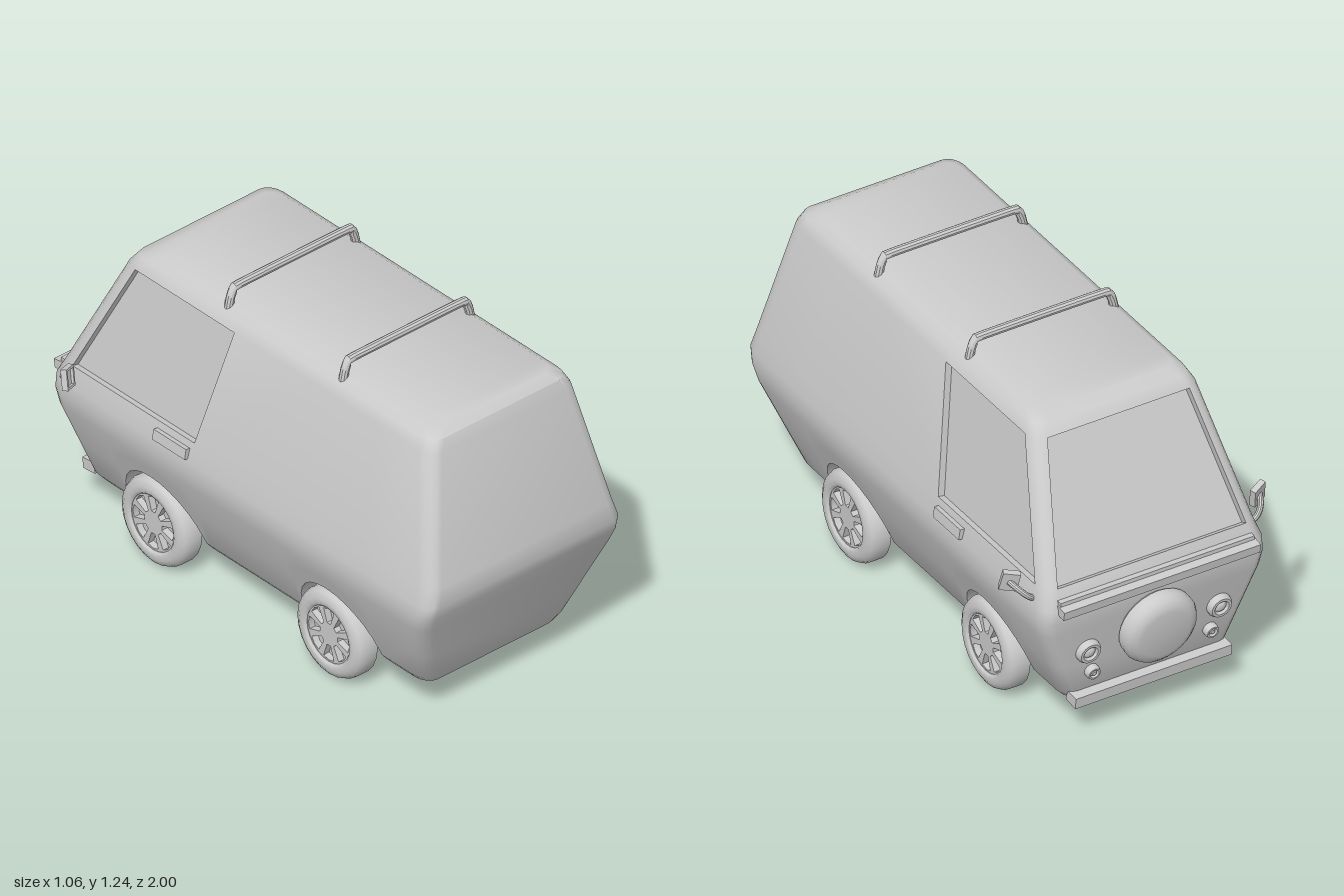
import * as THREE from 'three';
import { toCreasedNormals } from 'three/addons/utils/BufferGeometryUtils.js';

const grey = new THREE.MeshStandardMaterial({ color: 0xcccccc });
const thin = new THREE.MeshStandardMaterial({ color: 0xcccccc, side: THREE.DoubleSide });

function add(parent, name, geo, crease = 0.6, mat = grey) {
  const mesh = new THREE.Mesh(toCreasedNormals(geo, crease), mat);
  mesh.name = name;
  parent.add(mesh);
  return mesh;
}

// Geometry from quads, each four Vector3 corners counter-clockwise
function quadGeometry(quads) {
  const pos = [];
  for (const [a, b, c, d] of quads) for (const p of [a, b, c, a, c, d]) pos.push(p.x, p.y, p.z);
  const geo = new THREE.BufferGeometry();
  geo.setAttribute('position', new THREE.Float32BufferAttribute(pos, 3));
  geo.computeVertexNormals();
  return geo;
}

// Body shape by height: half width, front end, rear end
const SHAPE = [
  [0.13, 0.3, -0.845, 0.83], [0.16, 0.325, -0.867, 0.845], [0.46, 0.437, -0.915, 0.96],
  [0.52, 0.447, -0.925, 0.985], [0.57, 0.443, -0.925, 1.0], [0.64, 0.424, -0.893, 0.988],
  [1.1, 0.332, -0.68, 0.887], [1.14, 0.311, -0.652, 0.87], [1.16, 0.28, -0.605, 0.83],
];
const LEVELS = [0.13, 0.16, 0.3, 0.46, 0.52, 0.57, 0.64, 1.1, 1.14, 1.16];
const SILL = 6, HEAD = 7, N = LEVELS.length;
const AXLES = [-0.46, 0.43];

function shapeAt(y) {
  let i = 0;
  while (i < SHAPE.length - 2 && y > SHAPE[i + 1][0]) i++;
  const a = SHAPE[i], b = SHAPE[i + 1], t = (y - a[0]) / (b[0] - a[0]);
  return a.map((v, k) => v + (b[k] - v) * t);
}

// Columns from front to rear: rounded corners, wheel arches and window post
function makeColumns() {
  const cols = [];
  const arch = (c) => {
    for (let k = 0; k <= 14; k++) {
      const a = Math.PI * (1 - k / 14);
      cols.push({ z: c + 0.2 * Math.cos(a), bottom: 0.13 + 0.235 * Math.sin(a) });
    }
  };
  for (let k = 0; k <= 4; k++) cols.push({ end: 2, angle: (k / 4) * Math.PI / 2, bottom: 0.13 });
  arch(AXLES[0]);
  cols.push({ z: -0.235, bottom: 0.13, post: true });
  arch(AXLES[1]);
  for (let k = 4; k >= 0; k--) cols.push({ end: 3, angle: (k / 4) * Math.PI / 2, bottom: 0.13 });
  return cols;
}

function bodyPoint(col, level, side) {
  let y = LEVELS[level];
  if (y <= 0.46) y = col.bottom + (y - 0.13) / 0.33 * (0.46 - col.bottom);
  const s = shapeAt(y);
  let x = s[1], z = col.z;
  if (col.end) {
    x -= 0.05 * (1 - Math.sin(col.angle));
    z = s[col.end] + (col.end === 2 ? 1 : -1) * 0.065 * (1 - Math.cos(col.angle));
  } else if (y > 0.46) {
    const m = shapeAt(0.46);
    z = s[2] + (z - m[2]) / (m[3] - m[2]) * (s[3] - s[2]);
  }
  return new THREE.Vector3(side * x, y, z);
}

// Sunken pane with reveal walls; corners counter-clockwise from outside
function addWindow(parent, name, c, depth) {
  const n = new THREE.Vector3().subVectors(c[1], c[0])
    .cross(new THREE.Vector3().subVectors(c[3], c[0])).normalize();
  const inner = c.map((p) => p.clone().addScaledVector(n, -depth));
  const walls = c.map((p, i) => [p, c[(i + 1) % 4], inner[(i + 1) % 4], inner[i]]);
  add(parent, name + 'Frame', quadGeometry(walls), 0.3, thin);
  add(parent, name, quadGeometry([inner]), 0.3, thin);
}

function addBody(van) {
  const cols = makeColumns(), last = cols.length - 1;
  const post = cols.findIndex((c) => c.post), quads = [];
  const R = (i, j) => bodyPoint(cols[i], j, 1), L = (i, j) => bodyPoint(cols[i], j, -1);
  for (let i = 0; i < last; i++) {
    for (let j = 0; j < N - 1; j++) {
      if (j === SILL && i >= 4 && i < post) continue;
      quads.push([R(i, j), R(i, j + 1), R(i + 1, j + 1), R(i + 1, j)]);
      quads.push([L(i, j), L(i + 1, j), L(i + 1, j + 1), L(i, j + 1)]);
    }
    quads.push([R(i, N - 1), L(i, N - 1), L(i + 1, N - 1), R(i + 1, N - 1)]); // roof
    quads.push([R(i, 0), R(i + 1, 0), L(i + 1, 0), L(i, 0)]); // floor and arch tunnels
  }
  for (let j = 0; j < N - 1; j++) {
    if (j !== SILL) quads.push([L(0, j), L(0, j + 1), R(0, j + 1), R(0, j)]);
    quads.push([R(last, j), R(last, j + 1), L(last, j + 1), L(last, j)]);
  }
  add(van, 'body', quadGeometry(quads), 0.65);
  addWindow(van, 'windshield', [L(0, SILL), L(0, HEAD), R(0, HEAD), R(0, SILL)], 0.03);
  addWindow(van, 'leftWindow', [R(4, SILL), R(4, HEAD), R(post, HEAD), R(post, SILL)], 0.025);
  addWindow(van, 'rightWindow', [L(4, SILL), L(post, SILL), L(post, HEAD), L(4, HEAD)], 0.025);
}

const lathe = (pts, segments) =>
  new THREE.LatheGeometry(pts.map((p) => new THREE.Vector2(...p)), segments);

// Wheel along local +x, the outer side
function makeWheel() {
  const wheel = new THREE.Group();
  wheel.name = 'wheel';
  add(wheel, 'tire', lathe([[0.108, 0], [0.155, 0], [0.17, 0.008], [0.17, 0.055], [0.16, 0.077],
    [0.138, 0.09], [0.116, 0.088], [0.108, 0.08], [0.108, 0]], 24), 0.7).rotation.z = -Math.PI / 2;
  const rim = new THREE.Shape().absarc(0, 0, 0.11, 0, Math.PI * 2);
  for (let k = 0; k < 8; k++) {
    const a = k * Math.PI / 4;
    const at = (r, d) => new THREE.Vector2(r * Math.cos(a + d), r * Math.sin(a + d));
    rim.holes.push(new THREE.Path([at(0.045, -0.2), at(0.1, -0.26), at(0.103, 0), at(0.1, 0.26), at(0.045, 0.2)]));
  }
  const rimGeo = new THREE.ExtrudeGeometry(rim, { depth: 0.07, bevelEnabled: false, curveSegments: 12 });
  const rimMesh = add(wheel, 'spokedRim', rimGeo);
  rimMesh.rotation.y = Math.PI / 2;
  rimMesh.position.x = 0.008;
  const plate = add(wheel, 'brakePlate', new THREE.CylinderGeometry(0.107, 0.107, 0.02, 24));
  plate.rotation.z = Math.PI / 2;
  plate.position.x = 0.043;
  return wheel;
}

// Places a lathed part on the sloping nose, its axis facing forward
function addNosePart(van, name, x, y, profile, segments) {
  const mesh = add(van, name, lathe(profile, segments));
  mesh.rotation.x = -Math.PI / 2 - 0.16;
  mesh.position.set(x, y, shapeAt(y)[2] + 0.005);
}

function tube(points, radius, tension = 0.2) {
  const curve = new THREE.CatmullRomCurve3(points.map((p) => new THREE.Vector3(...p)), false, 'catmullrom', tension);
  return new THREE.TubeGeometry(curve, 32, radius, 10);
}

function addBox(parent, name, size, position) {
  const mesh = add(parent, name, new THREE.BoxGeometry(...size));
  mesh.position.set(...position);
  return mesh;
}

function addMirror(van, side) {
  add(van, 'mirrorArm', tube([[side * 0.425, 0.585, -0.83], [side * 0.455, 0.605, -0.832],
    [side * 0.48, 0.63, -0.815], [side * 0.498, 0.65, -0.78]], 0.011, 0.5));
  const head = new THREE.Group();
  head.name = 'mirrorHead';
  const frame = new THREE.Shape([[-0.031, -0.038], [0.031, -0.038], [0.031, 0.038], [-0.031, 0.038]]
    .map((p) => new THREE.Vector2(...p)));
  frame.holes.push(new THREE.Path([[-0.022, -0.029], [-0.022, 0.029], [0.022, 0.029], [0.022, -0.029]]
    .map((p) => new THREE.Vector2(...p))));
  add(head, 'mirrorFrame', new THREE.ExtrudeGeometry(frame, { depth: 0.022, bevelEnabled: false }));
  addBox(head, 'mirrorGlass', [0.05, 0.064, 0.012], [0, 0, 0.006]);
  head.position.set(side * 0.497, 0.648, -0.785);
  head.rotation.set(-0.2, -side * 0.45, side * 0.12);
  van.add(head);
}

export function createModel() {
  const van = new THREE.Group();
  van.name = 'van';
  addBody(van);

  for (const side of [1, -1]) {
    for (const z of AXLES) {
      const wheel = makeWheel();
      wheel.position.set(side * 0.31, 0.17, z);
      if (side < 0) wheel.rotation.y = Math.PI;
      van.add(wheel);
    }
    addMirror(van, side);
    const handle = addBox(van, 'doorHandle', [0.03, 0.04, 0.165], [side * 0.437, 0.595, -0.308]);
    handle.rotation.z = side * 0.15;
    const light = (r) => [[r, 0], [r, 0.018], [r * 0.85, 0.03], [r * 0.62, 0.03], [r * 0.5, 0.02], [r * 0.3, 0.028], [0, 0.03]];
    addNosePart(van, 'headlight', side * 0.26, 0.355, light(0.046), 20);
    addNosePart(van, 'indicator', side * 0.235, 0.255, light(0.027), 16);
  }

  // Spare wheel cover on the nose
  addNosePart(van, 'spareWheelCover', 0, 0.385, [[0.13, 0], [0.143, 0.015], [0.145, 0.045],
    [0.135, 0.065], [0.115, 0.08], [0.095, 0.085], [0, 0.085]], 28);

  // Nose trim and bumper
  addBox(van, 'noseTrim', [0.78, 0.035, 0.045], [0, 0.572, -0.937]).rotation.x = -0.16;
  addBox(van, 'noseTrimLip', [0.77, 0.015, 0.025], [0, 0.598, -0.918]);
  addBox(van, 'bumper', [0.62, 0.042, 0.06], [0, 0.156, -0.875]).rotation.x = -0.1;

  // Roof bars
  for (const z of [-0.19, 0.39]) {
    add(van, 'roofBar', tube([[-0.288, 1.14, z], [-0.28, 1.18, z], [-0.268, 1.208, z], [-0.24, 1.219, z],
      [0.24, 1.219, z], [0.268, 1.208, z], [0.28, 1.18, z], [0.288, 1.14, z]], 0.016, 0.3));
  }
  return van;
}
